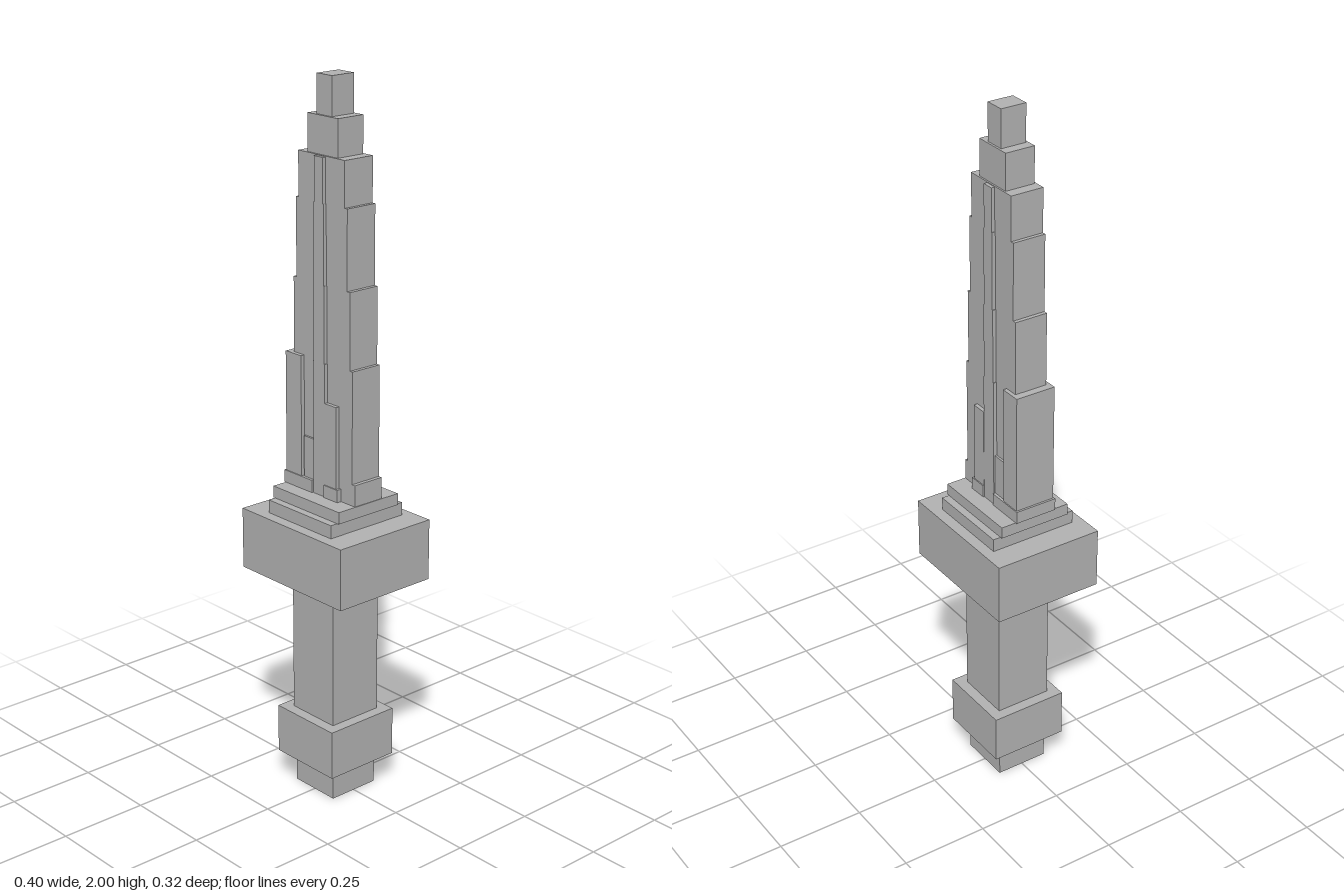
import * as THREE from 'three';

export function createModel() {
  const group = new THREE.Group();
  const stone = new THREE.MeshStandardMaterial({ color: 0xb2b2b2 });
  stone.name = 'grey';

  // Box from x0..x1, y0..y1 and symmetric depth +-z
  function block(name, x0, x1, y0, y1, z) {
    const mesh = new THREE.Mesh(new THREE.BoxGeometry(x1 - x0, y1 - y0, 2 * z), stone);
    mesh.position.set((x0 + x1) / 2, (y0 + y1) / 2, 0);
    mesh.name = name;
    group.add(mesh);
  }

  // Stacked centred blocks: name, half width, half depth, bottom, top
  const stack = [
    ['pommelTip', 0.077, 0.077, 0, 0.09],
    ['pommel', 0.113, 0.113, 0.09, 0.23],
    ['grip', 0.082, 0.082, 0.23, 0.637],
    ['guard', 0.2, 0.16, 0.637, 0.81],
    ['collarLower', 0.126, 0.128, 0.81, 0.847],
    ['collarUpper', 0.133, 0.106, 0.847, 0.88],
    ['bladeBase', 0.131, 0.048, 0.88, 0.94],
    ['bladeLower', 0.12, 0.048, 0.94, 1.25],
    ['bladeMiddle', 0.11, 0.048, 1.25, 1.46],
    ['bladeUpper', 0.099, 0.048, 1.46, 1.675],
    ['bladeShoulder', 0.089, 0.048, 1.675, 1.797],
    ['bladeNeck', 0.058, 0.043, 1.797, 1.897],
    ['bladeTip', 0.029, 0.037, 1.897, 2],
  ];
  for (const [name, hx, hz, y0, y1] of stack) block(name, -hx, hx, y0, y1, hz);

  // Raised spine down both faces, slightly wider in each lower section
  const spine = [[0.88, 1.25, 0.023], [1.25, 1.46, 0.021], [1.46, 1.675, 0.019], [1.675, 1.795, 0.017]];
  for (const [y0, y1, hx] of spine) block('spine', -hx, hx, y0, y1, 0.058);

  // Uneven armour plates that wrap the lower blade
  block('rightPlate', -0.132, -0.07, 0.88, 1.253, 0.059);
  block('rightPlateFoot', -0.138, -0.025, 0.88, 0.915, 0.062);
  block('rightInnerPlate', -0.065, -0.023, 0.88, 1.03, 0.054);
  block('leftPlate', 0.023, 0.069, 0.88, 1.143, 0.059);
  block('leftPlateFoot', 0.023, 0.077, 0.88, 0.915, 0.062);

  return group;
}
